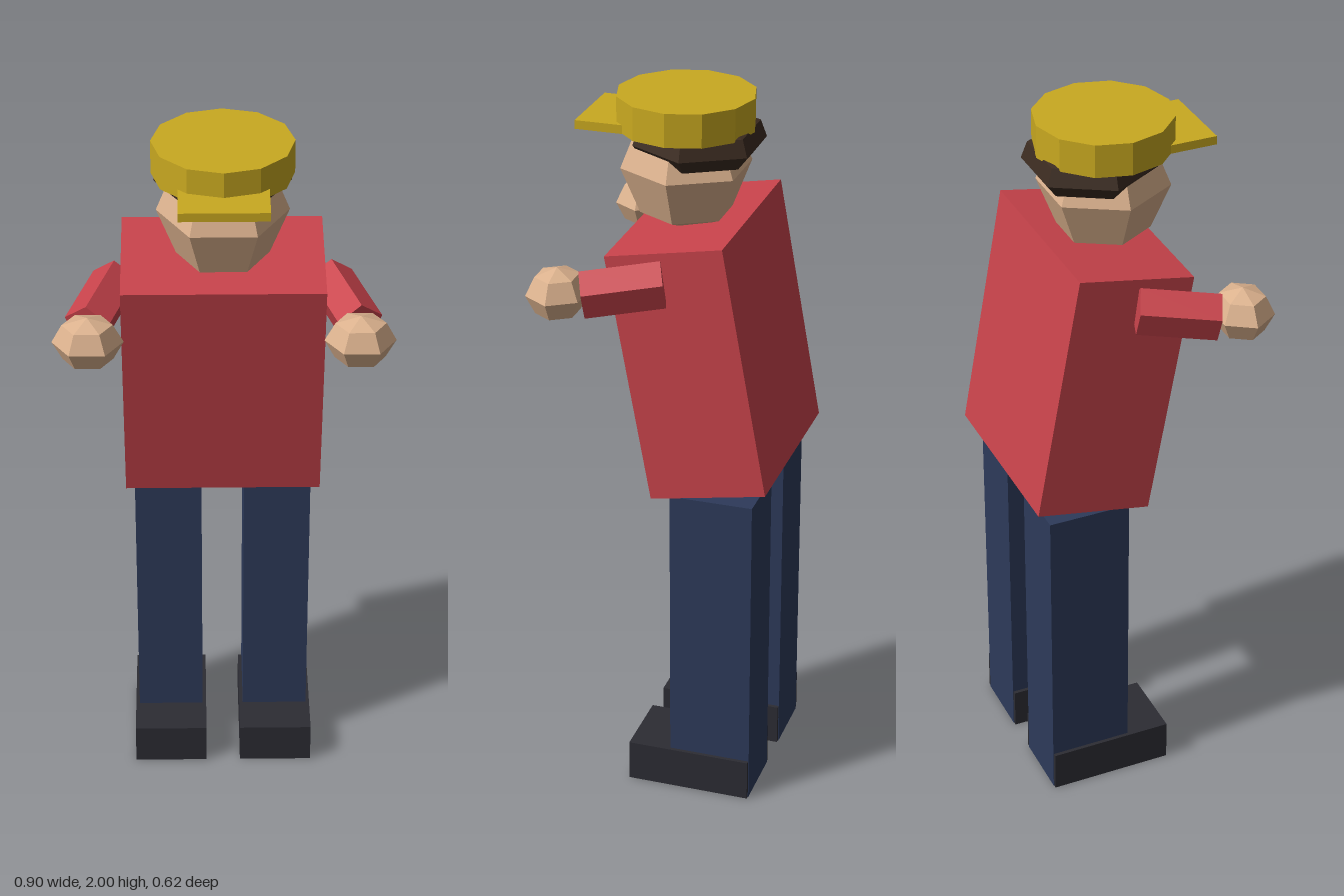
import * as THREE from 'three';

const mat = (name, color) => {
  const m = new THREE.MeshStandardMaterial({ color, flatShading: true });
  m.name = name;
  return m;
};

export function createModel() {
  const skin = mat('skin', 0xdcb28e);
  const shirt = mat('shirt red', 0xc8434b);
  const trousers = mat('trouser blue', 0x2d3a5a);
  const leather = mat('shoe black', 0x2c2c33);
  const brown = mat('hair brown', 0x3b2b20);
  const gold = mat('cap yellow', 0xc9a920);

  const model = new THREE.Group();
  model.name = 'figure';
  const add = (name, geometry, material, x, y, z) => {
    const mesh = new THREE.Mesh(geometry, material);
    mesh.name = name;
    mesh.position.set(x, y, z);
    model.add(mesh);
    return mesh;
  };

  // Torso leans forward
  add('torso', new THREE.BoxGeometry(0.543, 0.705, 0.328), shirt, 0, 1.304, -0.085).rotation.x = 0.178;

  // Head: six-sided ball
  add('head', new THREE.SphereGeometry(1, 6, 4).scale(0.176, 0.18, 0.18), skin, 0, 1.8, 0);

  // Hair: six-sided band, set back from the face
  const hairProfile = [[0, 1.828], [0.148, 1.828], [0.182, 1.868], [0.165, 1.915], [0, 1.96]]
    .map(([r, y]) => new THREE.Vector2(r, y));
  add('hair', new THREE.LatheGeometry(hairProfile, 6, Math.PI / 2), brown, 0, 0, -0.037);

  // Cap and brim
  add('cap', new THREE.CylinderGeometry(0.188, 0.188, 0.092, 12), gold, 0, 1.954, 0);
  add('capBrim', new THREE.BoxGeometry(0.235, 0.024, 0.21), gold, 0, 1.919, 0.166);

  // Limbs, mirrored
  for (const [side, s] of [['left', 1], ['right', -1]]) {
    // The leg runs down through the shoe
    add(side + 'Leg', new THREE.BoxGeometry(0.188, 0.93, 0.234), trousers, s * 0.154, 0.465, -0.149);
    add(side + 'Shoe', new THREE.BoxGeometry(0.209, 0.119, 0.353), leather, s * 0.154, 0.0605, -0.088);

    // Five-sided forearm pointing forward and outward
    const shoulder = new THREE.Vector3(s * 0.287, 1.572, -0.03);
    const wrist = new THREE.Vector3(s * 0.357, 1.545, 0.17);
    const mid = shoulder.clone().add(wrist).multiplyScalar(0.5);
    const armGeo = new THREE.CylinderGeometry(0.065, 0.065, shoulder.distanceTo(wrist), 5).rotateX(-Math.PI / 2);
    add(side + 'Arm', armGeo, shirt, mid.x, mid.y, mid.z).lookAt(wrist);

    add(side + 'Hand', new THREE.SphereGeometry(1, 6, 4).scale(0.094, 0.072, 0.084), skin, s * 0.355, 1.54, 0.238);
  }
  return model;
}
